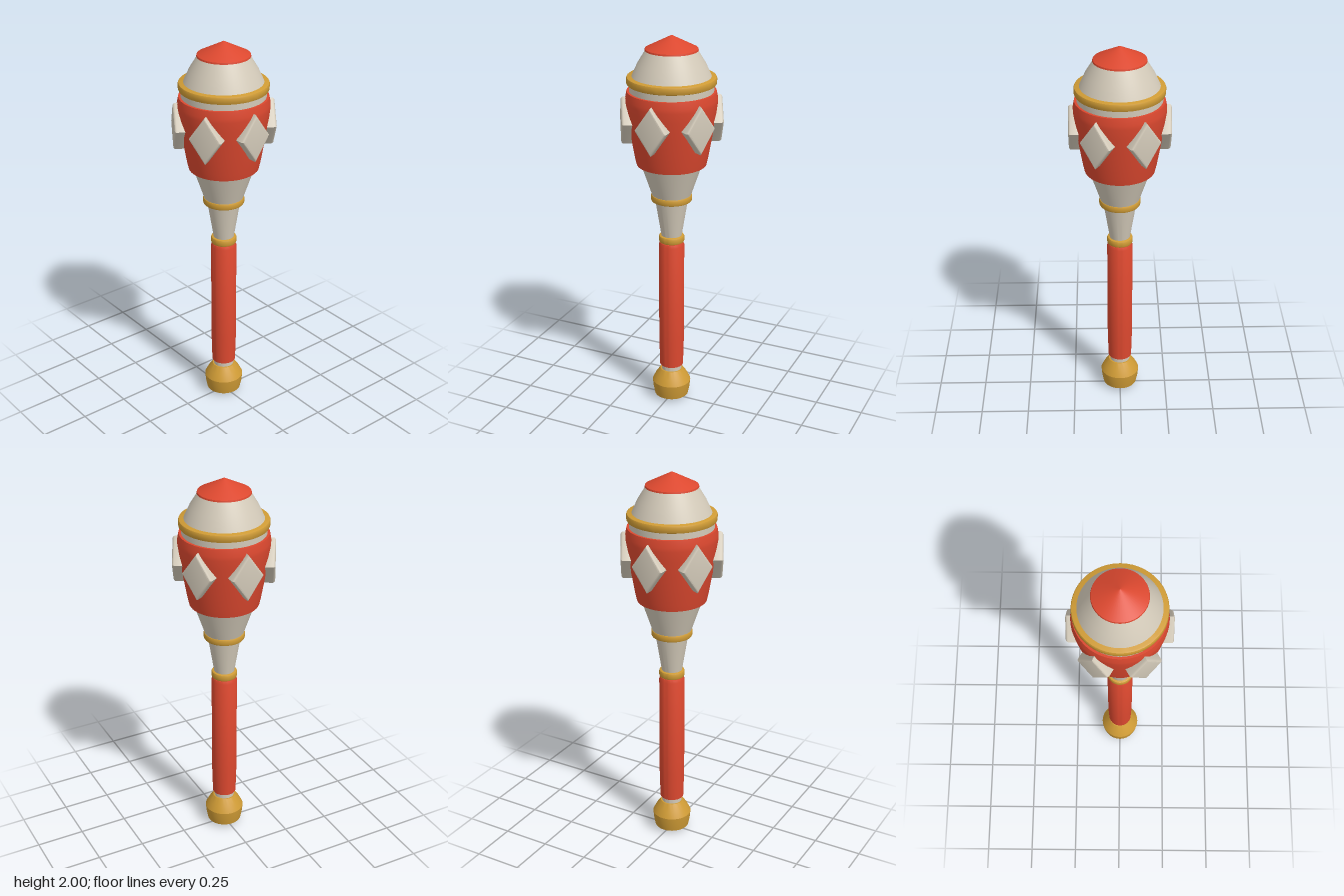
import * as THREE from 'three';
import { toCreasedNormals } from 'three/addons/utils/BufferGeometryUtils.js';

export function createModel() {
  const group = new THREE.Group();
  group.name = 'mace';
  const mat = (name, color) => Object.assign(new THREE.MeshStandardMaterial({ color }), { name });
  const red = mat('red', 0xdc482f);
  const cream = mat('cream', 0xd3cab9);
  const gold = mat('gold', 0xcf9b35);

  const add = (name, geometry, material) => {
    const mesh = new THREE.Mesh(geometry, material);
    mesh.name = name;
    group.add(mesh);
    return mesh;
  };

  // Turned part: [radius, height] pairs from bottom to top
  const turned = (name, points, material) => {
    const lathe = new THREE.LatheGeometry(points.map(([r, y]) => new THREE.Vector2(r, y)), 48);
    return add(name, toCreasedNormals(lathe, 0.5), material);
  };

  // Gold band with softened rims
  const band = (name, y0, y1, r) => {
    const b = 0.009;
    turned(name, [[0, y0], [r - b, y0], [r - b * 0.3, y0 + b * 0.3], [r, y0 + b],
      [r, y1 - b], [r - b * 0.3, y1 - b * 0.3], [r - b, y1], [0, y1]], gold);
  };

  // Handle
  turned('pommel', [[0, 0], [0.09, 0.02], [0.098, 0.06], [0.102, 0.1], [0.085, 0.134], [0.06, 0.17], [0, 0.17]], gold);
  turned('pommelCollar', [[0, 0.16], [0.053, 0.16], [0.053, 0.21], [0, 0.21]], cream);
  turned('grip', [[0, 0.198], [0.062, 0.198], [0.066, 0.35], [0.066, 0.9], [0.06, 0.915], [0, 0.915]], red);
  band('gripBand', 0.917, 0.955, 0.066);

  // Shaft widening into the head
  turned('neck', [[0, 0.95], [0.052, 0.95], [0.084, 1.15], [0, 1.15]], cream);
  band('neckBand', 1.146, 1.183, 0.105);
  turned('headBase', [[0, 1.18], [0.1, 1.18], [0.157, 1.35], [0, 1.35]], cream);

  // Head
  turned('headBody', [[0, 1.345], [0.176, 1.345], [0.184, 1.38], [0.198, 1.46], [0.212, 1.54],
    [0.223, 1.62], [0.229, 1.67], [0.229, 1.69], [0.222, 1.725], [0, 1.725]], red);
  turned('headCollar', [[0, 1.72], [0.21, 1.72], [0.21, 1.765], [0, 1.765]], cream);
  band('headBand', 1.758, 1.798, 0.223);
  turned('dome', [[0, 1.79], [0.2, 1.79], [0.168, 1.86], [0.125, 1.93], [0, 1.93]], cream);
  turned('cap', [[0, 1.926], [0.132, 1.926], [0.13, 1.934], [0, 2]], red);

  // Six bevelled diamond studs around the head
  const bevel = 0.012, w = 0.07, h = 0.105;
  const diamond = new THREE.Shape([[0, -h], [w, 0], [0, h], [-w, 0]].map(([x, y]) => new THREE.Vector2(x, y)));
  const stud = new THREE.ExtrudeGeometry(diamond, {
    depth: 0.04, bevelEnabled: true, bevelThickness: bevel, bevelSize: bevel, bevelSegments: 3,
  });
  stud.translate(0, 1.577, 0.252 - 0.04 - bevel);
  const studGeometry = toCreasedNormals(stud, 0.6);
  for (let i = 0; i < 6; i++) add('diamondStud', studGeometry, cream).rotation.y = i * Math.PI / 3;

  return group;
}
